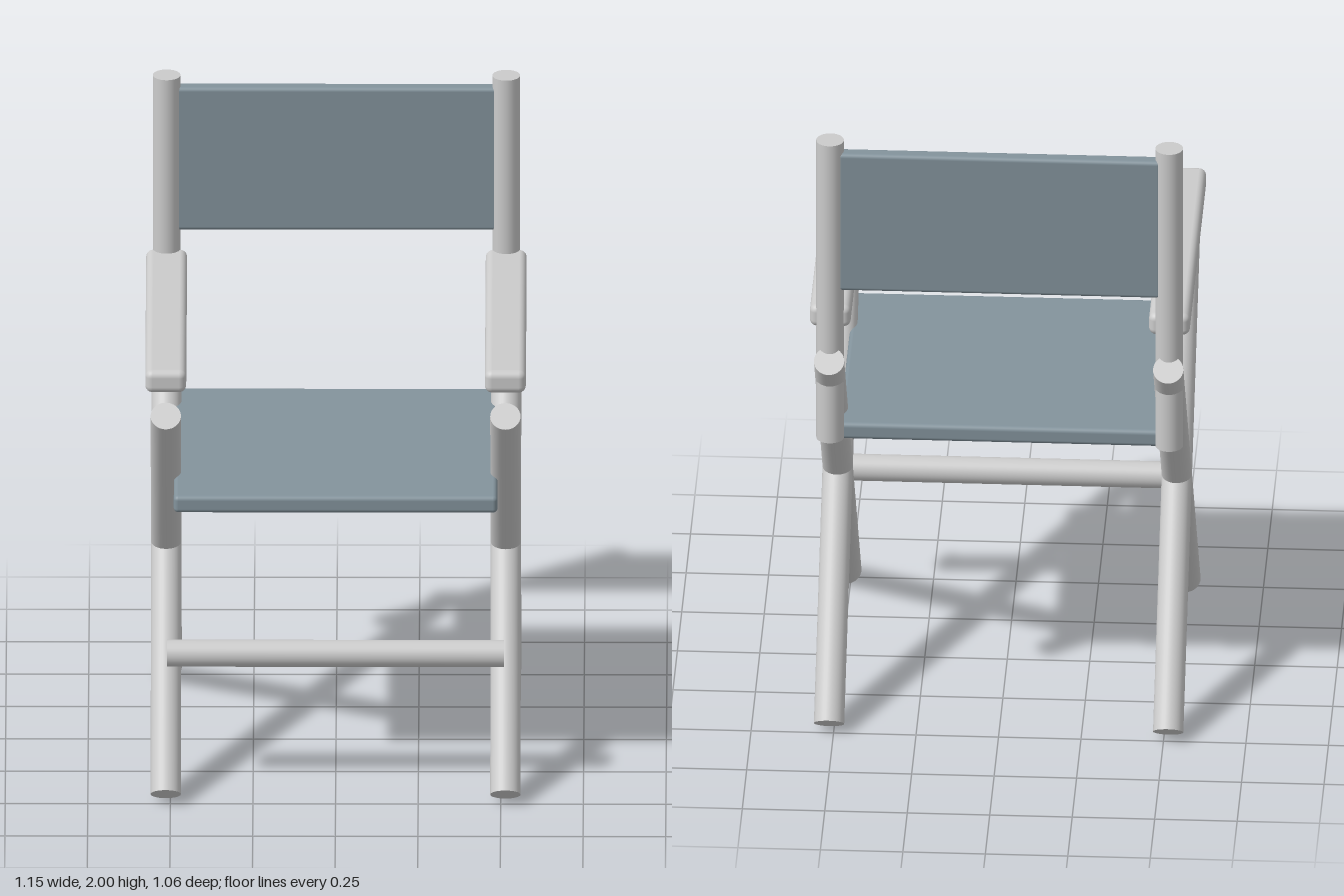
import * as THREE from 'three';
import { RoundedBoxGeometry } from 'three/addons/geometries/RoundedBoxGeometry.js';

const frame = new THREE.MeshStandardMaterial({ color: 0xcccccc });
const canvas = new THREE.MeshStandardMaterial({ color: 0x83939c });

export function createModel() {
  const model = new THREE.Group();
  model.name = 'foldingChair';

  // Round pole running between two points
  function pole(name, from, to, radius) {
    const a = new THREE.Vector3(...from);
    const b = new THREE.Vector3(...to);
    const dir = b.clone().sub(a);
    const mesh = new THREE.Mesh(new THREE.CylinderGeometry(radius, radius, dir.length(), 32), frame);
    mesh.name = name;
    mesh.position.copy(a).add(b).multiplyScalar(0.5);
    mesh.quaternion.setFromUnitVectors(new THREE.Vector3(0, 1, 0), dir.normalize());
    model.add(mesh);
  }

  // Box with softened edges
  function slab(name, size, centre, radius, material) {
    const mesh = new THREE.Mesh(new RoundedBoxGeometry(...size, 4, radius), material);
    mesh.name = name;
    mesh.position.set(...centre);
    model.add(mesh);
  }

  for (const [side, s] of [['left', 1], ['right', -1]]) {
    const x = s * 0.514;
    // Crossed legs
    pole(side + 'LegRisingBack', [x, 0.028, 0.493], [x, 1.272, -0.493], 0.046);
    pole(side + 'LegRisingFront', [x, 0.028, -0.493], [x, 1.272, 0.493], 0.046);
    // Backrest post and armrest
    pole(side + 'BackPost', [x, 0.98, -0.433], [x, 2, -0.433], 0.042);
    slab(side + 'Armrest', [0.124, 0.073, 0.964], [x, 1.393, 0.042], 0.022, frame);
  }

  // Front footrest bar
  pole('footrestBar', [-0.51, 0.443, 0.378], [0.51, 0.443, 0.378], 0.041);

  // Fabric seat and backrest
  slab('seat', [0.98, 0.055, 0.848], [0, 0.969, 0.047], 0.014, canvas);
  slab('backrest', [0.98, 0.468, 0.046], [0, 1.73, -0.437], 0.012, canvas);

  return model;
}
